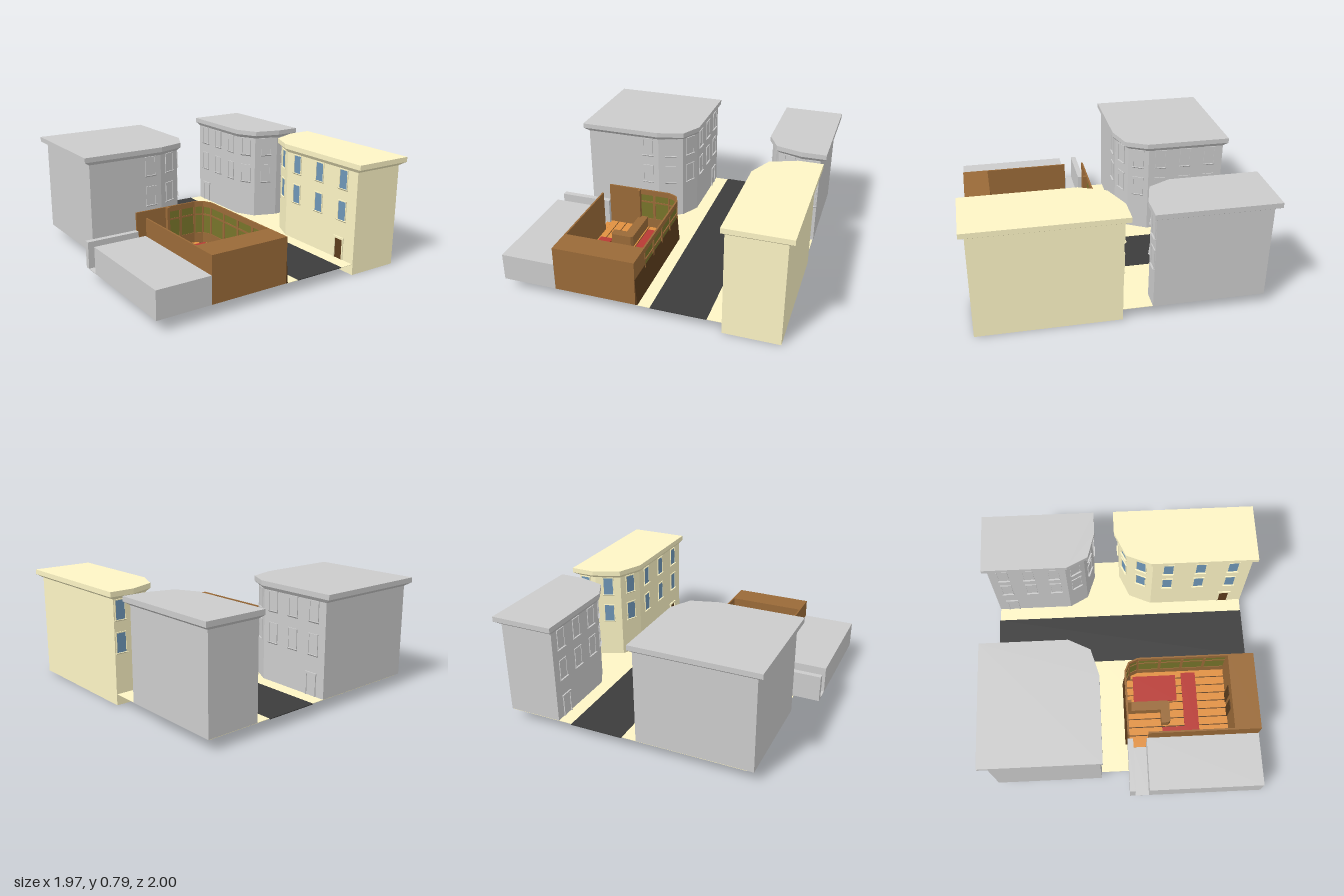
import * as THREE from 'three';

const mats = {};
const mat = (c) => (mats[c] ??= new THREE.MeshStandardMaterial({ color: c, flatShading: true }));
const GREY = 0xcccccc, CREAM = 0xfdf5c5, BROWN = 0x9a6a38, DARK = 0x5c3c1c, ORANGE = 0xe09040,
  RED = 0xb83a34, ROAD = 0x3c3c3c, BLUE = 0x6f97b8, OLIVE = 0x77742a;
const GROUND = 0.078;

function add(parent, name, geo, color) {
  const m = new THREE.Mesh(geo, mat(color));
  m.name = name;
  parent.add(m);
  return m;
}

// Box given by its limits on each axis
function block(parent, name, color, x0, x1, y0, y1, z0, z1) {
  const m = add(parent, name, new THREE.BoxGeometry(x1 - x0, y1 - y0, z1 - z0), color);
  m.position.set((x0 + x1) / 2, (y0 + y1) / 2, (z0 + z1) / 2);
  return m;
}

// Flat slab from an outline of [x, z] points
function slab(parent, name, color, pts, y0, y1) {
  const g = new THREE.ExtrudeGeometry(new THREE.Shape(pts.map(([x, z]) => new THREE.Vector2(x, -z))),
    { depth: y1 - y0, bevelEnabled: false });
  g.rotateX(-Math.PI / 2).translate(0, y0, 0);
  return add(parent, name, g, color);
}

// Closed convex solid through stacked rings of [x, z] points
function loft(rings) {
  const v = [], n = rings[0].pts.length;
  const put = (r, i) => v.push(r.pts[i % n][0], r.y, r.pts[i % n][1]);
  for (let k = 0; k + 1 < rings.length; k++) {
    const a = rings[k], b = rings[k + 1];
    for (let i = 0; i < n; i++) {
      put(a, i); put(a, i + 1); put(b, i + 1);
      put(a, i); put(b, i + 1); put(b, i);
    }
  }
  const top = rings[rings.length - 1];
  for (let i = 1; i < n - 1; i++) {
    put(top, 0); put(top, i); put(top, i + 1);
    put(rings[0], 0); put(rings[0], i + 1); put(rings[0], i);
  }
  const g = new THREE.BufferGeometry();
  g.setAttribute('position', new THREE.Float32BufferAttribute(v, 3));
  g.computeVertexNormals();
  return g;
}

// Wedge running along x: flat against the wall at z = 0, deepest at y = 0
function wedge(width, out, height) {
  const s = new THREE.Shape([[0, 0], [out, 0], [0, height]].map(([a, b]) => new THREE.Vector2(a, b)));
  const g = new THREE.ExtrudeGeometry(s, { depth: width, bevelEnabled: false });
  return g.rotateY(-Math.PI / 2).translate(width / 2, 0, 0);
}
function ledge(width, out, height) {
  const g = wedge(width, out, height);
  return g.rotateZ(Math.PI);
}

// Group on a wall from A to B at fraction t, its +z pointing away from the centre
function onWall(parent, name, A, B, t, centre) {
  const g = new THREE.Group();
  const x = A[0] + (B[0] - A[0]) * t, z = A[1] + (B[1] - A[1]) * t;
  let nx = B[1] - A[1], nz = A[0] - B[0];
  if (nx * (x - centre[0]) + nz * (z - centre[1]) < 0) { nx = -nx; nz = -nz; }
  g.name = name;
  g.position.set(x, 0, z);
  g.rotation.y = Math.atan2(nx, nz);
  parent.add(g);
  return g;
}

function windowPair(g, color, glass) {
  for (const [y0, y1] of [[0.365, 0.5], [0.59, 0.722]]) {
    block(g, 'pane', glass, -0.036, 0.036, y0, y1, -0.004, 0.002);
    for (const s of [-1, 1]) block(g, 'windowJamb', color, s * 0.038 - 0.003, s * 0.038 + 0.003, y0, y1, -0.004, 0.006);
    block(g, 'lintel', color, -0.042, 0.042, y1, y1 + 0.007, -0.004, 0.007);
    add(g, 'sill', ledge(0.088, 0.014, 0.012), color).position.y = y0;
  }
}

function door(g, color, leaf) {
  block(g, 'doorLeaf', leaf, -0.035, 0.035, GROUND, 0.225, -0.004, 0.002);
  for (const s of [-1, 1]) block(g, 'doorPost', color, s * 0.04 - 0.005, s * 0.04 + 0.005, GROUND, 0.235, -0.004, 0.008);
  block(g, 'doorHead', color, -0.05, 0.05, 0.225, 0.24, -0.004, 0.01);
}

// Corner building with a two-facet corner; toX and toZ map from street distances
function building(root, name, o) {
  const g = new THREE.Group();
  g.name = name;
  root.add(g);
  const map = ([u, v]) => [o.x + o.dx * u, o.z + o.dz * v];
  let wall = [[0, o.cut], [0.075, o.cut * 0.31], [0.25, 0], [o.wide, 0], [o.wide, o.deep], [0, o.deep]].map(map);
  const e = o.eave;
  let cornice = [[-0.018, o.cut - 0.015], [0.06, o.cut * 0.31 - 0.03], [0.25, -e], [o.wide + 0.04, -e],
    [o.wide + 0.04, o.deep + 0.035], [-0.018, o.deep + 0.035]].map(map);
  const centre = map([o.wide / 2, o.deep / 2]);
  for (const [i, ts] of [[0, [0.5]], [1, [0.5]], [2, [0.085 / (o.wide - 0.25)]], [5, [0.16, 0.49, 0.82]]])
    for (const t of ts)
      windowPair(onWall(g, 'windows', wall[i], wall[(i + 1) % 6], i === 5 ? 1 - t : t, centre), o.color, o.glass);
  door(onWall(g, 'door', wall[5], wall[0], 0.2, centre), o.color, o.leaf);
  if (o.dx * o.dz > 0) { wall = wall.reverse(); cornice = cornice.reverse(); }
  add(g, 'wallsAndCornice', loft([{ pts: wall, y: o.base }, { pts: wall, y: 0.73 },
    { pts: cornice, y: 0.755 }, { pts: cornice, y: 0.79 }]), o.color);
}

// Stretch of timber front: plinth, beam, posts and glazed bays (bays = 0 is solid)
function timberFront(parent, A, B, bays, centre) {
  const g = onWall(parent, 'timberFront', A, B, 0.5, centre);
  const L = Math.hypot(B[0] - A[0], B[1] - A[1]), h = L / 2;
  add(g, 'skirt', wedge(L, 0.015, 0.19), DARK).position.y = GROUND;
  if (!bays) return block(g, 'boarding', BROWN, -h, h, GROUND, 0.4, -0.012, 0);
  block(g, 'plinth', BROWN, -h, h, GROUND, 0.16, -0.012, 0);
  block(g, 'beam', BROWN, -h, h, 0.36, 0.4, -0.012, 0);
  block(g, 'transom', BROWN, -h, h, 0.295, 0.307, -0.012, 0.002);
  block(g, 'glass', OLIVE, -h, h, 0.16, 0.36, -0.008, -0.004);
  for (let i = 0; i <= bays; i++) {
    const x = -h + (L * i) / bays;
    block(g, 'post', BROWN, Math.max(x - 0.01, -h), Math.min(x + 0.01, h), 0.16, 0.36, -0.013, 0.002);
  }
}

function timberHouse(root) {
  const g = new THREE.Group();
  g.name = 'timberHouse';
  root.add(g);
  const centre = [-0.3, 0.45];
  const line = [[-0.6, 0], [-0.36, 0], [-0.12, 0], [-0.055, 0.03], [-0.025, 0.1], [-0.025, 0.77], [-0.025, 0.96]];
  [0, 2, 1, 1, 4, 0].forEach((bays, i) => timberFront(g, line[i], line[i + 1], bays, centre));
  block(g, 'sideWall', BROWN, -0.6, -0.588, GROUND, 0.4, 0.15, 0.77);
  block(g, 'rearRoom', BROWN, -0.6, -0.026, GROUND, 0.4, 0.77, 0.96);
  for (const x of [-0.27, -0.38]) block(g, 'innerDoor', DARK, x - 0.035, x + 0.035, GROUND, 0.3, 0.764, 0.772);

  // Floorboards with dark gaps, trimmed at the rounded corner
  slab(g, 'subfloor', DARK, [[-0.6, 0], [-0.12, 0], [-0.055, 0.03], [-0.025, 0.1], [-0.025, 0.77], [-0.6, 0.77]], 0.077, 0.08);
  for (let i = 0; i < 9; i++) {
    const x = -0.597 + i * 0.0635;
    block(g, 'floorboard', ORANGE, x, x + 0.056, 0.075, 0.084, i === 8 ? 0.05 : 0.003, 0.77);
  }
  block(g, 'doorstep', ORANGE, -0.625, -0.59, 0.076, 0.085, 0.045, 0.145);

  // Counter and carpets
  slab(g, 'counter', BROWN, [[-0.365, 0.01], [-0.295, 0.01], [-0.295, 0.315], [-0.31, 0.33], [-0.45, 0.33],
    [-0.465, 0.315], [-0.465, 0.262], [-0.365, 0.262]], 0.084, 0.17);
  block(g, 'counterPost', BROWN, -0.365, -0.345, 0.084, 0.4, 0.005, 0.04);
  block(g, 'carpet', RED, -0.275, -0.07, 0.083, 0.092, 0.065, 0.395);
  slab(g, 'cornerCarpet', RED, [[-0.575, 0.27], [-0.48, 0.27], [-0.48, 0.44], [-0.055, 0.44], [-0.055, 0.55], [-0.575, 0.55]], 0.083, 0.092);
}

export function createModel() {
  const root = new THREE.Group();
  root.name = 'streetCorner';

  // Pavement and road
  slab(root, 'pavement', CREAM, [[-0.8, -0.965], [0.94, -0.965], [0.94, 0.01], [0.82, 0.01], [0.65, 0.09], [0.57, 0.25],
    [0.57, 0.96], [-0.02, 0.96], [-0.02, 0.1], [-0.05, 0.035], [-0.115, 0], [-0.8, 0]], 0.075, GROUND);
  block(root, 'road', ROAD, 0.075, 0.46, 0.0742, 0.0795, -0.972, 0.961);

  // Three corner buildings
  const grey = { color: GREY, glass: GREY, leaf: GREY, base: GROUND - 0.001, z: -0.2, dz: -1, deep: 0.765, cut: 0.2, eave: 0.022 };
  building(root, 'greyBuildingLeft', { ...grey, x: 0.56, dx: 1, wide: 0.385 });
  building(root, 'greyBuildingRight', { ...grey, x: -0.028, dx: -1, wide: 0.815 });
  building(root, 'creamBuilding', { color: CREAM, glass: BLUE, leaf: DARK, base: 0, x: 0.56, dx: 1, wide: 0.385,
    z: 0, dz: 1, deep: 0.965, cut: 0.24, eave: 0.035 });

  timberHouse(root);

  // Low annex with an alley and garden wall
  const annex = new THREE.Group();
  annex.name = 'annex';
  root.add(annex);
  block(annex, 'annexBlock', GREY, -0.985, -0.601, GROUND, 0.27, 0.14, 0.96);
  block(annex, 'alleyFloor', GREY, -0.985, -0.601, 0.076, 0.081, 0.04, 0.14);
  block(annex, 'gardenWall', GREY, -0.985, -0.601, GROUND, 0.27, 0, 0.04);
  return root;
}
